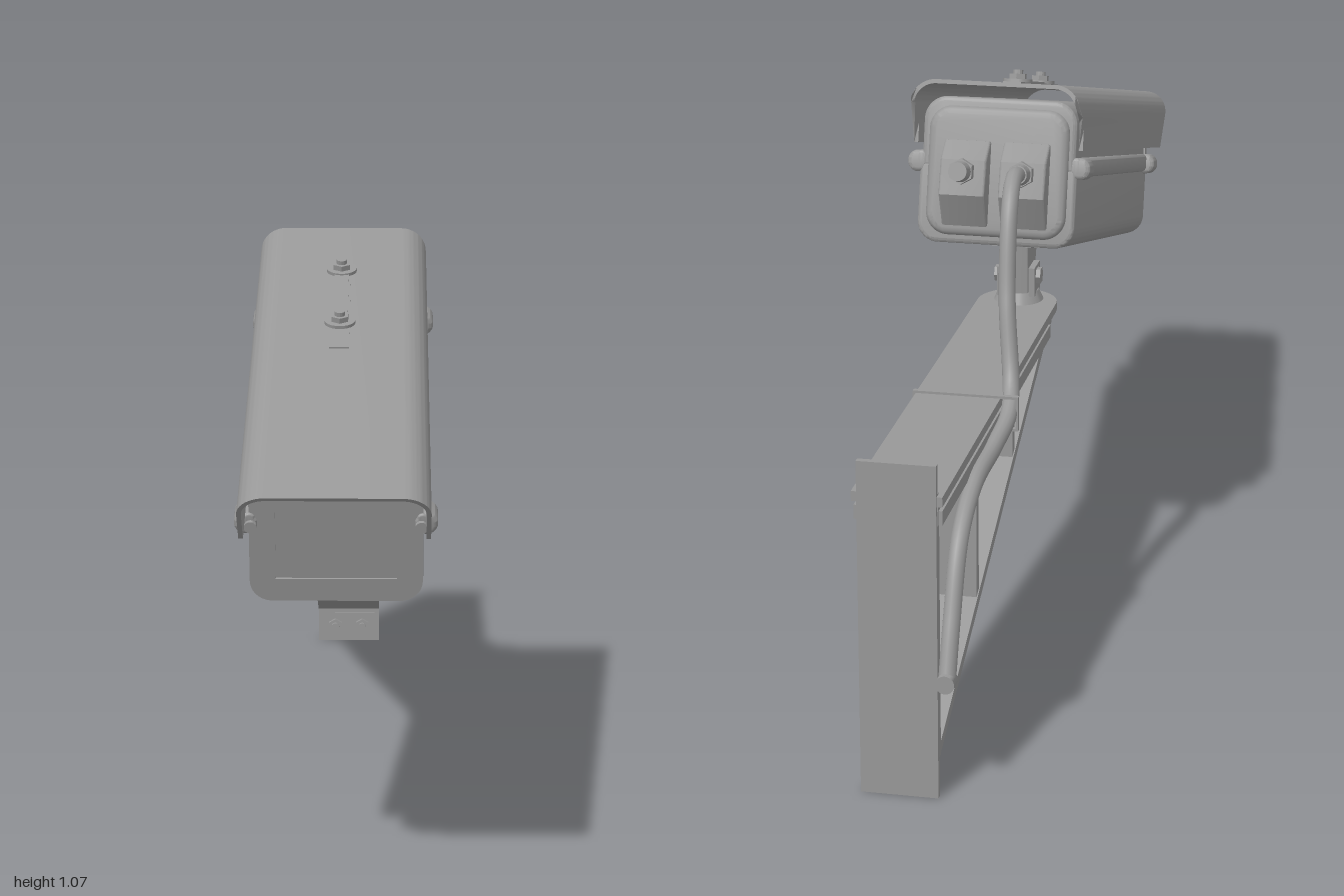
import * as THREE from 'three';
import { toCreasedNormals } from 'three/addons/utils/BufferGeometryUtils.js';

const mat = new THREE.MeshStandardMaterial({ color: 0x989898, side: THREE.DoubleSide });

function add(parent, name, geo, x = 0, y = 0, z = 0, rx = 0, ry = 0, rz = 0) {
  const m = new THREE.Mesh(geo, mat);
  m.name = name;
  m.position.set(x, y, z);
  m.rotation.set(rx, ry, rz);
  parent.add(m);
  return m;
}
const box = (w, h, d) => new THREE.BoxGeometry(w, h, d);
const cyl = (r, h, n = 24, r2 = r) => toCreasedNormals(new THREE.CylinderGeometry(r, r2, h, n), 0.6);

// Rounded rectangle with separate top and bottom corner radii
function roundRect(w, y0, y1, rb, rt = rb) {
  const s = new THREE.Shape(), P = Math.PI;
  s.moveTo(-w + rb, y0);
  s.absarc(w - rb, y0 + rb, rb, -P / 2, 0, false);
  s.absarc(w - rt, y1 - rt, rt, 0, P / 2, false);
  s.absarc(-w + rt, y1 - rt, rt, P / 2, P, false);
  s.absarc(-w + rb, y0 + rb, rb, P, P * 1.5, false);
  return s;
}
// Extrude a section from z0 to z1, with an optional bevel kept inside the outline
function extrude(shape, z0, z1, bevel = 0) {
  const g = new THREE.ExtrudeGeometry(shape, {
    depth: z1 - z0 - 2 * bevel, curveSegments: 8, bevelEnabled: bevel > 0,
    bevelSize: bevel, bevelThickness: bevel, bevelOffset: -bevel, bevelSegments: 3,
  });
  g.translate(0, 0, z0 + bevel);
  return toCreasedNormals(g, 0.6);
}
// Side profile given as [z, y] points, extruded across x
function sideProfile(points, width, bevel) {
  const s = new THREE.Shape(points.map(([z, y]) => new THREE.Vector2(-z, y)));
  return extrude(s, -width / 2, width / 2, bevel).rotateY(Math.PI / 2);
}

// Sunshield: thin inverted U whose ends are cut along a side profile
function sunshield() {
  const s = new THREE.Shape(), P = Math.PI, ys = [0.88, 0.9, 0.92, 0.934, 0.944];
  s.moveTo(-0.165, 0.88);
  ys.slice(1).forEach(y => s.lineTo(-0.165, y));
  s.absarc(-0.115, 0.953, 0.05, P, P / 2, true);
  s.absarc(0.115, 0.953, 0.05, P / 2, 0, true);
  [...ys].reverse().forEach(y => s.lineTo(0.165, y));
  ys.forEach(y => s.lineTo(0.157, y));
  s.absarc(0.115, 0.953, 0.042, 0, P / 2, false);
  s.absarc(-0.115, 0.953, 0.042, P / 2, P, false);
  [...ys].reverse().forEach(y => s.lineTo(-0.157, y));
  const g = new THREE.ExtrudeGeometry(s, { depth: 1, bevelEnabled: false, curveSegments: 10 });
  const p = g.attributes.position;
  for (let i = 0; i < p.count; i++) {
    const y = p.getY(i);
    const front = THREE.MathUtils.mapLinear(y, 0.88, 1.003, 0.679, 0.767);
    const back = -0.355 - 0.055 * THREE.MathUtils.smoothstep(y, 0.925, 0.97);
    p.setZ(i, THREE.MathUtils.lerp(back, front, p.getZ(i)));
  }
  return toCreasedNormals(g, 0.6);
}

function buildCamera() {
  const cam = new THREE.Group();
  cam.name = 'cameraHousing';
  cam.rotation.x = THREE.MathUtils.degToRad(15);

  add(cam, 'sunshield', sunshield());
  add(cam, 'lowerBody', extrude(roundRect(0.154, 0.69, 0.845, 0.04, 0.008), -0.345, 0.542, 0.008));
  add(cam, 'lid', extrude(roundRect(0.15, 0.835, 0.972, 0.008, 0.045), -0.345, 0.542, 0.008));
  add(cam, 'backCap', extrude(roundRect(0.138, 0.705, 0.955, 0.045), -0.357, -0.32, 0.015));

  // Front bezel with recessed window
  const bezel = roundRect(0.153, 0.69, 0.97, 0.04);
  const hole = new THREE.Path();
  hole.moveTo(-0.107, 0.734).lineTo(-0.107, 0.94).lineTo(0.107, 0.94).lineTo(0.107, 0.734).closePath();
  bezel.holes.push(hole);
  add(cam, 'frontBezel', extrude(bezel, 0.535, 0.556));
  add(cam, 'window', box(0.216, 0.21, 0.008), 0, 0.837, 0.548);

  // Seam lips ending in rounded screw bosses
  for (const s of [-1, 1]) {
    add(cam, 'seamLip', extrude(roundRect(0.01, 0.828, 0.866, 0.01), -0.345, 0.56, 0.005), s * 0.152);
    for (const z of [-0.315, 0.53]) {
      add(cam, 'screwBoss', extrude(roundRect(0.021, 0.824, 0.866, 0.02), z - 0.03, z + 0.03, 0.008), s * 0.158);
    }
    add(cam, 'bossScrew', cyl(0.011, 0.012), s * 0.15, 0.842, 0.562, Math.PI / 2);
  }

  // Slide bar with two bolts on top
  add(cam, 'slideSlot', box(0.036, 0.006, 0.414), 0, 1.003, -0.041);
  add(cam, 'slideBar', box(0.028, 0.008, 0.25), 0, 1.005, -0.065);
  for (const z of [-0.187, 0.058]) {
    add(cam, 'washer', cyl(0.029, 0.006), 0, 1.009, z);
    add(cam, 'nut', cyl(0.018, 0.012, 6), 0, 1.016, z);
    add(cam, 'boltTip', cyl(0.01, 0.01, 12), 0, 1.025, z);
  }

  // Cable entry blocks and glands at the back
  const entry = [[-0.34, 0.715], [-0.35, 0.715], [-0.402, 0.784], [-0.397, 0.852], [-0.363, 0.889], [-0.34, 0.889]];
  for (const x of [-0.058, 0.058]) {
    add(cam, 'entryBlock', sideProfile(entry, 0.09, 0.004), x);
    add(cam, 'glandNut', cyl(0.025, 0.022, 6), x, 0.83, -0.408, Math.PI / 2);
    add(cam, 'glandSleeve', cyl(0.021, 0.035, 20, 0.018), x, 0.83, -0.43, Math.PI / 2);
  }

  // Underside slots and mounting pad
  add(cam, 'bottomSlot', box(0.026, 0.004, 0.34), 0, 0.69, 0.22);
  add(cam, 'bottomSlot', box(0.026, 0.004, 0.08), 0, 0.69, -0.22);
  add(cam, 'mountPad', box(0.1, 0.014, 0.11), 0, 0.686, -0.072);
  return cam;
}

function buildMount() {
  const g = new THREE.Group();
  g.name = 'tiltMount';
  add(g, 'tiltBlock', sideProfile([[0.16, 0.69], [0.118, 0.59], [0.058, 0.59], [0.052, 0.712]], 0.052, 0.003));
  for (const s of [-1, 1]) {
    add(g, 'cheek', box(0.012, 0.06, 0.058), s * 0.032, 0.612, 0.09);
    add(g, 'pivotNut', cyl(0.017, 0.01, 6), s * 0.042, 0.62, 0.09, 0, 0, Math.PI / 2);
  }
  add(g, 'turntable', cyl(0.04, 0.022, 32, 0.05), 0, 0.578, 0.093);
  return g;
}

function buildBracket() {
  const g = new THREE.Group();
  g.name = 'wallBracket';
  // Arm: round-nosed top plate over a channel with wider lower edges
  const plan = new THREE.Shape();
  plan.moveTo(-0.08, 0.985).lineTo(-0.08, -0.075);
  plan.absarc(0, -0.075, 0.08, Math.PI, 2 * Math.PI, false);
  plan.lineTo(0.08, 0.985);
  add(g, 'armPlate', extrude(plan, 0, 0.018).rotateX(-Math.PI / 2), 0, 0.55, 0);
  for (const s of [-1, 1]) {
    add(g, 'armSide', box(0.01, 0.04, 1.01), s * 0.066, 0.533, -0.475);
    add(g, 'armLowerEdge', box(0.016, 0.026, 1.0), s * 0.07, 0.526, -0.475);
  }
  add(g, 'armHub', cyl(0.07, 0.028, 32), 0, 0.538, 0.07);

  // Diagonal plate and cross plates
  const y0 = 0.525, z0 = 0.03, y1 = 0.085, z1 = -0.975;
  const len = Math.hypot(y0 - y1, z0 - z1), angle = -Math.atan2(y0 - y1, z0 - z1);
  add(g, 'diagonalBrace', box(0.14, 0.02, len), 0, (y0 + y1) / 2, (z0 + z1) / 2, angle);
  for (const z of [-0.305, -0.64]) {
    const yb = y0 + (z - z0) * (y0 - y1) / (z0 - z1);
    add(g, 'crossPlate', box(0.136, 0.55 - yb, 0.02), 0, (0.55 + yb) / 2, z);
  }

  // Wall plate, thinner at the bolted ends
  add(g, 'wallPlate', box(0.14, 0.625, 0.012), 0, 0.3125, -0.982);
  add(g, 'wallPlateCore', box(0.14, 0.495, 0.012), 0, 0.3225, -0.972);
  for (const y of [0.036, 0.598]) {
    add(g, 'boltPad', box(0.12, y < 0.3 ? 0.06 : 0.045, 0.004), 0, y, -0.975);
    for (const x of [-0.031, 0.031]) {
      add(g, 'wallBolt', cyl(0.017, 0.01, 6), x, y, -0.969, Math.PI / 2);
      add(g, 'wallBoltTip', cyl(0.009, 0.008, 12), x, y, -0.961, Math.PI / 2);
    }
  }
  return g;
}

function buildCable() {
  const g = new THREE.Group();
  g.name = 'cableRun';
  const path = [
    [-0.058, 0.905, -0.18], [-0.058, 0.922, -0.25], [-0.062, 0.885, -0.31], [-0.07, 0.72, -0.375],
    [-0.088, 0.58, -0.43], [-0.096, 0.54, -0.49], [-0.09, 0.515, -0.6], [-0.086, 0.502, -0.76],
    [-0.085, 0.445, -0.87], [-0.085, 0.32, -0.94], [-0.085, 0.225, -0.98],
  ].map(a => new THREE.Vector3(...a));
  add(g, 'cable', new THREE.TubeGeometry(new THREE.CatmullRomCurve3(path), 90, 0.016, 12));
  add(g, 'cableEnd', cyl(0.017, 0.03), -0.085, 0.225, -0.985, Math.PI / 2);
  // Strap around the arm and cable
  add(g, 'strapTop', box(0.196, 0.005, 0.01), -0.014, 0.57, -0.485);
  add(g, 'strapBottom', box(0.196, 0.005, 0.01), -0.014, 0.508, -0.485);
  for (const x of [-0.111, 0.083]) add(g, 'strapSide', box(0.005, 0.066, 0.01), x, 0.539, -0.485);
  return g;
}

export function createModel() {
  const model = new THREE.Group();
  model.name = 'securityCamera';
  model.add(buildCamera(), buildMount(), buildBracket(), buildCable());
  return model;
}
